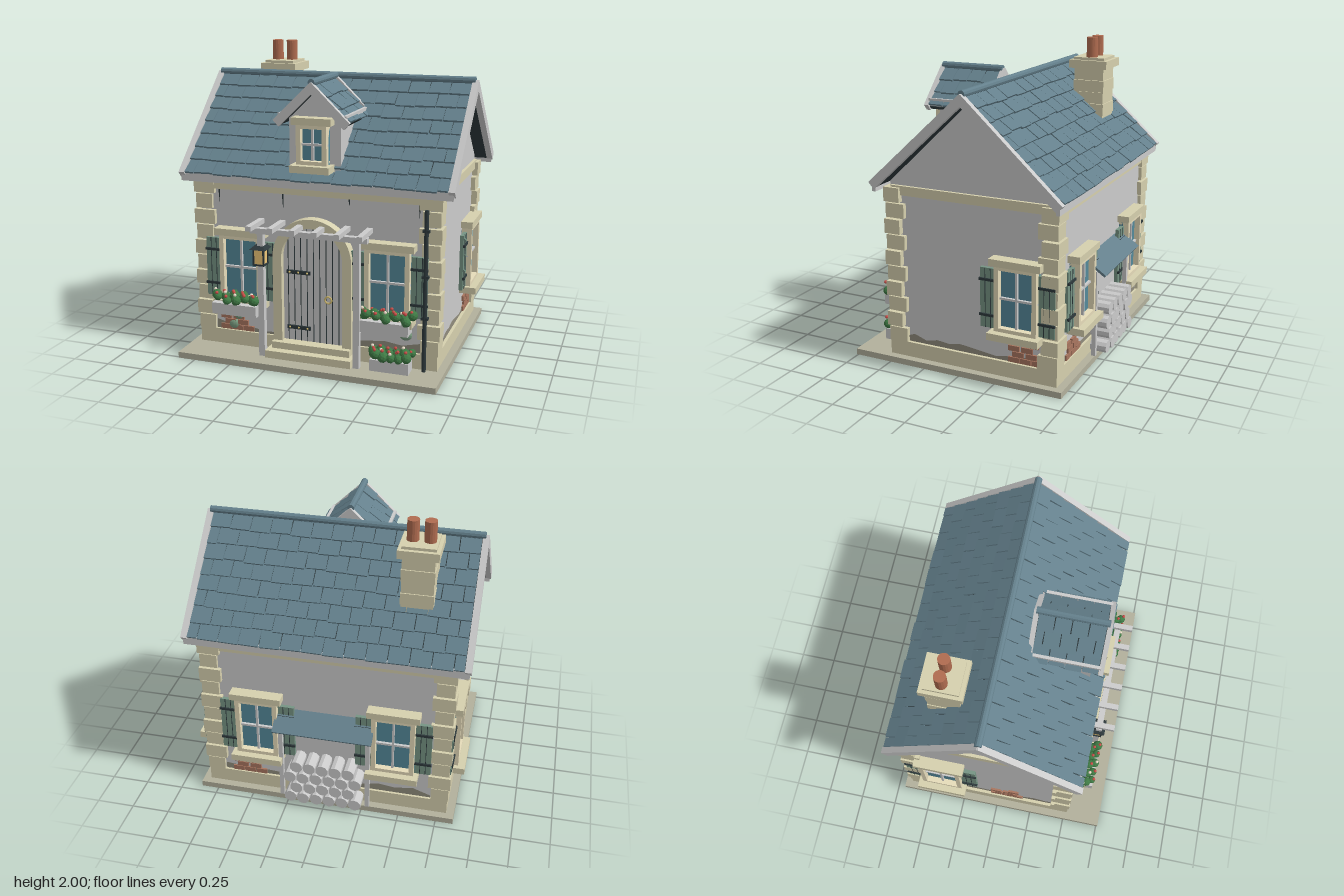
import * as THREE from 'three';
import { mergeGeometries } from 'three/addons/utils/BufferGeometryUtils.js';

const C = { plain: 0xcccccc, stone: 0xd6d0ae, frame: 0xe6dcba, tile: 0x64808c, dark: 0x2e393c, glass: 0x55899a,
  shutter: 0x769484, brick: 0xa8755f, pot: 0xb06c50, base: 0xb2b09c, stain: 0x908c7c, leaf: 0x3f7a45,
  red: 0xc8504a, white: 0xe8dcc8, lamp: 0xf0c878, bush: 0x7a9c80, brass: 0xcdb870 };
const mats = {};
const mat = c => mats[c] ??= new THREE.MeshStandardMaterial({ color: C[c], flatShading: true, side: THREE.DoubleSide });

let seed = 7;
const rnd = () => (seed = (seed * 16807) % 2147483647) / 2147483647;

const WX = 0.79, ZF = 0.5, ZB = -0.63, ZC = -0.065;   // wall planes and ridge line

function add(parent, name, geo, color, x = 0, y = 0, z = 0) {
  const m = new THREE.Mesh(geo, mat(color));
  m.name = name;
  m.position.set(x, y, z);
  parent.add(m);
  return m;
}
const box = (p, name, c, w, h, d, x, y, z) => add(p, name, new THREE.BoxGeometry(w, h, d), c, x, y, z);
const cyl = (p, name, c, r, h, x, y, z, n = 12) => add(p, name, new THREE.CylinderGeometry(r, r, h, n), c, x, y, z);
function group(parent, name, x = 0, y = 0, z = 0, ry = 0) {
  const g = new THREE.Group();
  g.name = name;
  g.position.set(x, y, z);
  g.rotation.y = ry;
  parent.add(g);
  return g;
}
const poly = pts => new THREE.Shape(pts.map(p => new THREE.Vector2(...p)));
const extrude = (shape, depth) => new THREE.ExtrudeGeometry(shape, { depth, bevelEnabled: false, curveSegments: 16 });

// Gabled pair of slopes along local x; ridge at the group's origin
function roof(g, half, len, angle, rows, cols, barge) {
  for (const s of [0, 1]) {
    const side = group(g, 'roofSlope', 0, 0, 0, s * Math.PI);
    side.rotation.order = 'YXZ';
    side.rotation.x = angle;
    box(side, 'roofBoard', 'dark', half * 2, 0.025, len, 0, -0.025, len / 2);
    const tiles = [], pitch = len / rows, w = half * 2 / cols;
    for (let r = 0; r < rows; r++) for (let c = 0; c <= cols; c++) {
      const a = Math.max(-half, -half + (c - (r % 2) / 2) * w), b = Math.min(half, -half + (c + 1 - (r % 2) / 2) * w);
      if (b - a < 0.01) continue;
      const t = new THREE.BoxGeometry(b - a - 0.006, 0.014, pitch * 1.12);
      t.rotateX(-0.11 - rnd() * 0.05);
      t.rotateY((rnd() - 0.5) * 0.05);
      t.translate((a + b) / 2, rnd() * 0.006, (r + 0.52) * pitch + (rnd() - 0.5) * 0.012);
      tiles.push(t);
    }
    add(side, 'roofTiles', mergeGeometries(tiles), 'tile');
    for (const e of [-1, 1]) box(side, 'bargeBoard', 'plain', barge, 0.055, len + 0.02, e * (half + barge / 2), -0.012, len / 2);
  }
  cyl(g, 'ridgeCap', 'tile', 0.023, half * 2 + barge, 0, 0.015, 0, 10).rotation.z = Math.PI / 2;
}

// Window on a wall: local +z points outward, origin at the wall plane
function windowUnit(parent, x, y, z, ry, w = 0.28, h = 0.42, shutters = true) {
  const g = group(parent, 'window', x, y, z, ry), f = 0.03;
  box(g, 'windowGlass', 'glass', w, h, 0.03, 0, 0, 0.015);
  for (const s of [-1, 1]) {
    box(g, 'windowJamb', 'frame', f, h, 0.07, s * (w - f) / 2, 0, 0.035);
    box(g, 'windowRail', 'frame', w, f * 0.8, 0.07, 0, s * (h - f * 0.8) / 2, 0.035);
    if (!shutters) continue;
    box(g, 'shutter', 'shutter', 0.105, h * 0.92, 0.025, s * (w / 2 + 0.055), -0.015, 0.025);
    for (const k of [-1, 1]) {
      box(g, 'shutterHinge', 'dark', 0.11, 0.016, 0.012, s * (w / 2 + 0.057), k * 0.115 - 0.01, 0.042);
      box(g, 'shutterLine', 'dark', 0.004, h * 0.92, 0.004, s * (w / 2 + 0.055) + k * 0.018, -0.015, 0.038);
    }
  }
  box(g, 'windowMullion', 'plain', 0.014, h, 0.02, 0, 0, 0.038);
  box(g, 'windowTransom', 'plain', w, 0.014, 0.02, 0, 0, 0.038);
  box(g, 'windowLintel', 'stone', w + 0.06, 0.045, 0.08, 0, h / 2 + 0.022, 0.04);
  box(g, 'windowSill', 'stone', w + 0.06, 0.045, 0.115, 0, -h / 2 - 0.022, 0.058);
}

// Planter with leaves and blossoms
function planter(parent, x, y, z, w) {
  const g = group(parent, 'planter', x, y, z);
  box(g, 'planterBox', 'plain', w * 0.86, 0.075, 0.1, 0, 0.0375, 0);
  for (let i = 0; i < 16; i++) {
    const px = (i / 15 - 0.5) * (w - 0.04), pz = (i % 3 - 1) * 0.035;
    add(g, 'leaves', new THREE.IcosahedronGeometry(0.026 + rnd() * 0.01, 1), 'leaf', px, 0.09 + rnd() * 0.03, pz);
    add(g, 'blossom', new THREE.IcosahedronGeometry(0.011, 1), i % 4 ? 'red' : 'white', px, 0.125 + rnd() * 0.025, pz + 0.015);
  }
}

// Jagged damp patch and bare bricks on one wall, local +z outward
function weathering(parent, x, z, ry, width, brickX) {
  const g = group(parent, 'weathering', x, 0, z, ry);
  const pts = [[width / 2, 0.12], [-width / 2, 0.12]], n = 12;
  for (let i = 0; i <= n; i++) pts.push([(i / n - 0.5) * width, 0.15 + rnd() * 0.055]);
  add(g, 'dampPatch', new THREE.ShapeGeometry(poly(pts)), 'stain', 0, 0, 0.004);
  for (const [u, v] of [[-0.08, 0], [0, 0], [0.08, 0], [-0.05, 1], [0.04, 1], [-0.08, 2], [0.01, 2], [0.05, 3]])
    box(g, 'bareBrick', 'brick', 0.075, 0.034, 0.016, brickX + u, 0.16 + v * 0.038, 0.006);
}

function archShape(r, y0, y1) {
  const s = new THREE.Shape();
  s.moveTo(-r, y0);
  s.lineTo(r, y0);
  s.lineTo(r, y1);
  s.absarc(0, y1, r, 0, Math.PI, false);
  s.lineTo(-r, y0);
  return s;
}

export function createModel() {
  const house = new THREE.Group();
  house.name = 'cottage';

  // Ground slab, plinth and walls with gables
  box(house, 'groundSlab', 'base', 1.73, 0.04, 1.46, 0, 0.02, 0.03);
  box(house, 'plinth', 'stone', 1.63, 0.1, 1.17, 0, 0.09, ZC);
  const wall = poly([[-0.565, 0.04], [0.565, 0.04], [0.565, 1.2], [0, 1.735], [-0.565, 1.2]]);
  add(house, 'walls', extrude(wall, WX * 2), 'plain', -WX, 0, ZC).rotation.y = Math.PI / 2;

  // Corner stones and cornice bands
  for (const sx of [-1, 1]) {
    for (const sz of [-1, 1]) for (let i = 0; i < 10; i++) {
      const o = i % 2, w = o ? 0.145 : 0.115, d = o ? 0.11 : 0.13, out = o ? 0.04 : 0.03;
      box(house, 'cornerStone', 'stone', w, 0.094, d, sx * (WX + out - w / 2), 0.185 + i * 0.104, ZC + sz * (0.565 + out * 0.75 - d / 2));
    }
    box(house, 'sideBand', 'stone', 0.04, 0.06, 1.1, sx * WX, 1.15, ZC);
    box(house, 'eavesBand', 'stone', 1.5, 0.05, 0.04, 0, 1.13, ZC + sx * 0.57);
    box(house, 'eavesFascia', 'plain', 1.8, 0.055, 0.025, 0, 1.18, ZC + sx * 0.615);
  }

  // Main roof
  roof(group(house, 'mainRoof', 0, 1.785, ZC), 0.87, 0.855, 0.743, 8, 13, 0.04);

  // Dormer
  const gable = poly([[-0.17, 1.24], [0.17, 1.24], [0.17, 1.6], [0, 1.765], [-0.17, 1.6]]);
  add(house, 'dormerWalls', extrude(gable, 0.38), 'plain', 0, 0, 0.11);
  roof(group(house, 'dormerRoof', 0, 1.805, 0.325, Math.PI / 2), 0.21, 0.325, 0.77, 3, 4, 0.03);
  for (const s of [-1, 1]) box(house, 'dormerFascia', 'plain', 0.02, 0.05, 0.44, s * 0.215, 1.6, 0.325);
  windowUnit(house, 0, 1.435, 0.49, 0, 0.2, 0.25, false);

  // Chimney
  const chim = group(house, 'chimney', -0.53, 0, -0.34);
  for (let i = 0; i < 5; i++) {
    const k = i % 2 * 0.008;
    box(chim, 'chimneyCourse', 'stone', 0.2 + k, 0.078, 0.21 + k, 0, 1.43 + i * 0.08, 0);
  }
  box(chim, 'chimneyCap', 'stone', 0.255, 0.055, 0.27, 0, 1.82, 0);
  box(chim, 'chimneyTop', 'stone', 0.21, 0.02, 0.22, 0, 1.855, 0);
  for (const s of [-1, 1]) cyl(chim, 'chimneyPot', 'pot', 0.038, 0.14, s * 0.053, 1.93, -0.005, 16);

  // Windows on every wall
  for (const s of [-1, 1]) {
    windowUnit(house, s * 0.495, 0.595, ZF, 0, 0.29, 0.43);
    windowUnit(house, s * 0.45, 0.565, ZB, Math.PI);
    windowUnit(house, s * WX, 0.565, -0.39, s * Math.PI / 2);
    planter(house, s * 0.505, 0.3, 0.61, 0.36);
  }
  planter(house, 0.54, 0.05, 0.61, 0.29);

  // Weathered wall bases
  weathering(house, 0, ZF, 0, 1.4, -0.55);
  weathering(house, 0, ZB, Math.PI, 1.4, -0.53);
  weathering(house, WX, ZC, Math.PI / 2, 1.0, 0.37);
  weathering(house, -WX, ZC, -Math.PI / 2, 1.0, 0.13);
  for (const [x, y] of [[-0.54, 0.25], [-0.575, 0.18], [0.605, 0.25]])
    add(house, 'mossClump', new THREE.SphereGeometry(0.04, 12, 8), 'bush', x, y, ZF).scale.set(1.05, 0.9, 0.6);
  for (const [x, l] of [[-0.66, 0.1], [-0.215, 0.11], [0.23, 0.06], [0.68, 0.1]])
    add(house, 'wallCrack', new THREE.ShapeGeometry(poly([[-0.007, 0], [0.002, -l], [0.007, 0]])), 'dark', x, 1.11, ZF + 0.004);

  // Arched door, surround and steps
  const door = group(house, 'door', 0, 0, ZF);
  const surround = archShape(0.265, 0.13, 0.7);
  surround.holes.push(archShape(0.205, 0.13, 0.7));
  add(door, 'doorSurround', extrude(surround, 0.07), 'stone');
  add(door, 'doorLeaf', extrude(archShape(0.205, 0.13, 0.7), 0.03), 'plain');
  for (let i = -4; i <= 4; i++) {
    const x = i * 0.043, top = 0.7 + Math.sqrt(0.205 ** 2 - x * x);
    box(door, 'plankGroove', 'dark', 0.005, top - 0.13, 0.004, x, (top + 0.13) / 2, 0.031);
  }
  for (const y of [0.225, 0.6]) {
    box(door, 'doorHinge', 'dark', 0.16, 0.024, 0.012, -0.1, y, 0.036);
    for (const x of [-0.16, -0.1, -0.04]) add(door, 'hingeStud', new THREE.SphereGeometry(0.007, 8, 6), 'brass', x, y, 0.043);
  }
  add(door, 'doorRing', new THREE.TorusGeometry(0.022, 0.006, 8, 20), 'brass', 0.102, 0.435, 0.038);
  box(house, 'lowerStep', 'stone', 0.58, 0.05, 0.18, 0, 0.065, 0.57);
  box(house, 'upperStep', 'stone', 0.53, 0.045, 0.11, 0, 0.112, 0.55);

  // Pergola over the door
  for (const s of [-1, 1]) box(house, 'pergolaPost', 'plain', 0.04, 0.83, 0.04, s * 0.32, 0.455, 0.62);
  box(house, 'pergolaBeam', 'plain', 0.78, 0.036, 0.04, 0, 0.88, 0.62);
  for (let i = 0; i < 6; i++) box(house, 'pergolaRafter', 'plain', 0.036, 0.032, 0.22, -0.365 + i * 0.146, 0.912, 0.61);

  // Lantern
  const lamp = group(house, 'lantern', -0.33, 0, 0.61);
  box(lamp, 'lanternGlass', 'lamp', 0.066, 0.1, 0.066, 0, 0.71, 0);
  for (const a of [-1, 1]) for (const b of [-1, 1]) box(lamp, 'lanternBar', 'dark', 0.01, 0.11, 0.01, a * 0.034, 0.71, b * 0.034);
  box(lamp, 'lanternFloor', 'dark', 0.08, 0.01, 0.08, 0, 0.657, 0);
  add(lamp, 'lanternRoof', new THREE.ConeGeometry(0.078, 0.05, 4), 'dark', 0, 0.785, 0).rotation.y = Math.PI / 4;
  cyl(lamp, 'lanternHanger', 'dark', 0.005, 0.07, 0, 0.835, 0, 6);

  // Drainpipe
  cyl(house, 'drainpipe', 'dark', 0.014, 1.04, 0.735, 0.56, 0.542);
  for (const y of [0.39, 0.66, 0.95]) box(house, 'pipeBracket', 'dark', 0.045, 0.016, 0.04, 0.735, y, 0.535);

  // Log store with sloping cover at the back
  for (let r = 0; r < 4; r++) for (let c = 0; c < 6 - r % 2; c++) {
    const log = cyl(house, 'log', 'plain', 0.042, 0.13 + rnd() * 0.02, (c - 2.5 + r % 2 / 2) * 0.087, 0.083 + r * 0.084, -0.69, 10);
    log.rotation.x = Math.PI / 2;
  }
  for (const s of [-1, 1]) box(house, 'logStorePost', 'plain', 0.028, 0.58, 0.028, s * 0.29, 0.33, -0.69);
  box(house, 'logStoreCover', 'tile', 0.65, 0.016, 0.175, 0, 0.655, -0.695).rotation.x = -0.6;

  return house;
}
